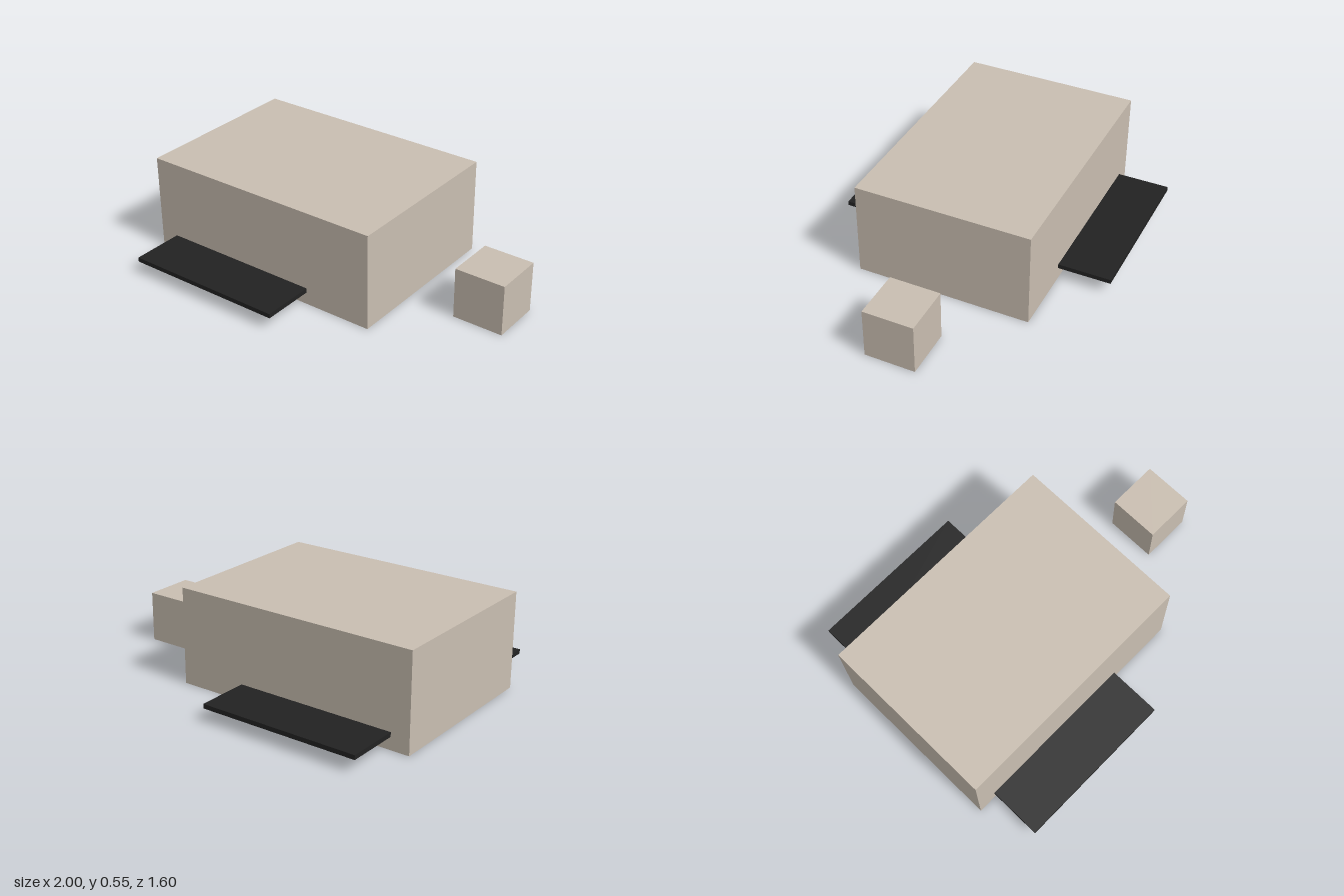
import * as THREE from 'three';

export function createModel() {
  const model = new THREE.Group();
  const beige = new THREE.MeshStandardMaterial({ color: 0xc9beb1 });
  beige.name = 'warm beige';
  const black = new THREE.MeshStandardMaterial({ color: 0x222222 });
  black.name = 'matte black';

  // Box given by its lower and upper corners
  const addBox = (name, material, [x0, y0, z0], [x1, y1, z1]) => {
    const mesh = new THREE.Mesh(new THREE.BoxGeometry(x1 - x0, y1 - y0, z1 - z0), material);
    mesh.position.set((x0 + x1) / 2, (y0 + y1) / 2, (z0 + z1) / 2);
    mesh.name = name;
    model.add(mesh);
  };

  // Large body and the small detached block beside it
  addBox('body', beige, [-1, 0, -0.5], [0.425, 0.545, 0.5]);
  addBox('smallBlock', beige, [0.712, 0, -0.143], [1, 0.288, 0.143]);

  // Thin side plates, mirrored front and back
  addBox('frontPlate', black, [-0.893, 0.071, 0.5], [0.033, 0.096, 0.8]);
  addBox('backPlate', black, [-0.893, 0.071, -0.8], [0.033, 0.096, -0.5]);

  return model;
}
